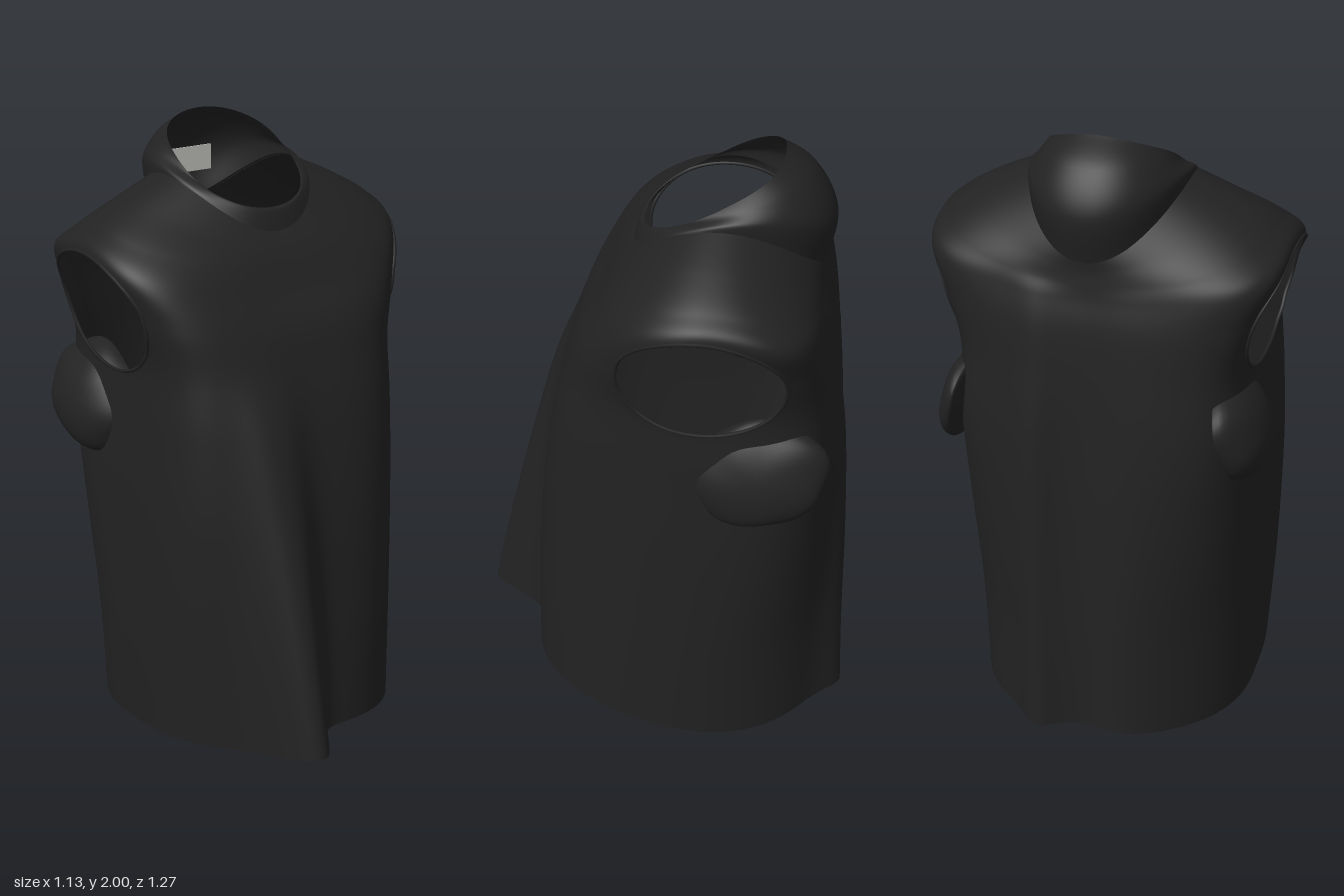
import * as THREE from 'three';

const cloth = new THREE.MeshStandardMaterial({ color: 0x222222, side: THREE.DoubleSide });
cloth.name = 'black cloth';
const tag = new THREE.MeshStandardMaterial({ color: 0xc2c2be });
tag.name = 'pale grey label';

// Rings: front z, back z, half width, middle z, y at front / side / back,
// squareness front / back, fold size front / back, skew of the front corners
const BODY = [
  [0.455, -0.575, 0.46, -0.12, 0.08, 0.01, 0.02, 2.5, 2.1, 0.22, 0.06, 0.5],
  [0.445, -0.575, 0.475, -0.12, 0.41, 0.40, 0.40, 2.7, 2.2, 0.15, 0.045, 0.8],
  [0.415, -0.565, 0.48, -0.13, 0.80, 0.80, 0.80, 3.0, 3.0, 0.08, 0.035, 1],
  [0.37, -0.55, 0.472, -0.14, 1.10, 1.10, 1.10, 3.3, 4.2, 0.04, 0.03, 1],
  [0.32, -0.535, 0.465, -0.14, 1.30, 1.30, 1.30, 3.6, 4.4, 0.01, 0.02, 1],
  [0.28, -0.52, 0.51, -0.15, 1.42, 1.48, 1.44, 3.4, 4.4, 0, 0.015, 0.8],
  [0.22, -0.50, 0.56, -0.16, 1.52, 1.64, 1.53, 3.0, 4.0, 0, 0.01, 0.6],
  [0.175, -0.49, 0.50, -0.17, 1.60, 1.71, 1.58, 2.6, 3.2, 0, 0, 0.3],
  [0.142, -0.485, 0.38, -0.18, 1.65, 1.78, 1.62, 2.2, 2.5, 0, 0, 0],
  [0.107, -0.485, 0.24, -0.19, 1.69, 1.845, 1.66, 2.1, 2.1, 0, 0, 0],
];
const COLLAR = [
  [0.112, -0.49, 0.247, -0.19, 1.685, 1.84, 1.65, 2.1, 2.1, 0, 0, 0],
  [0.103, -0.515, 0.242, -0.20, 1.72, 1.865, 1.80, 2.1, 2.1, 0, 0, 0],
  [0.092, -0.45, 0.217, -0.19, 1.75, 1.88, 1.93, 2.2, 2.2, 0, 0, 0],
  [0.078, -0.35, 0.20, -0.15, 1.755, 1.88, 2.0, 2.3, 2.5, 0, 0, 0],
];

// Smooth blend of the ring numbers at t = 0..1
function ringAt(rings, t) {
  const s = t * (rings.length - 1);
  const k = Math.min(Math.floor(s), rings.length - 2);
  const f = s - k;
  const at = (i) => rings[Math.max(0, Math.min(rings.length - 1, i))];
  return rings[k].map((b, n) => {
    const a = at(k - 1)[n], c = at(k + 1)[n], d = at(k + 2)[n];
    return b + 0.5 * f * (c - a + f * (2 * a - 5 * b + 4 * c - d + f * (3 * (b - c) + d - a)));
  });
}

const hump = (x, centre, width, power = 2) => Math.exp(-(Math.abs((x - centre) / width) ** power));

function ringPoint([front, back, w, mid, yf, ys, yb, nf, nb, foldF, foldB, skew], angle) {
  const s = Math.sin(angle), c = Math.cos(angle);
  const n = c > 0 ? nf - skew * s : nb;
  const r = Math.pow(Math.abs(s) ** n + Math.abs(c) ** n, -1 / n);
  const x = w * r * s - 0.01 * skew;
  let z = mid + r * c * (c > 0 ? front - mid : mid - back);
  let y = ys + (c * (yf - yb)) / 2 + c * c * ((yf + yb) / 2 - ys);
  // Hanging folds: one large at the front, two ridges with a valley at the back
  if (c > 0) {
    const bump = foldF * hump(x, -0.2, 0.108, 2.4) * Math.min(1, c * 2);
    z += bump;
    y += bump * 0.15;
  } else {
    const folds = hump(x, 0.15, 0.07) + 0.3 * hump(x, -0.17, 0.13) - 0.3 * hump(x, -0.03, 0.07);
    z -= foldB * folds * Math.min(1, -c * 2);
  }
  return [x, y, z];
}

// Armhole ellipse seen from the side: below 1 is inside
const HOLE = { y: 1.445, z: -0.14, ry: 0.197, rz: 0.262 };
const holeRadius = ([x, y, z]) =>
  Math.abs(x) < 0.25 ? 9 : Math.hypot((y - HOLE.y) / HOLE.ry, (z - HOLE.z) / HOLE.rz);

// Skin the rings; armholes are cut out and their edge points collected in rims
function skin(rings, around, up, rims) {
  const pts = [];
  for (let j = 0; j <= up; j++) {
    const ring = ringAt(rings, j / up);
    for (let i = 0; i < around; i++) pts.push(ringPoint(ring, (i / around) * Math.PI * 2));
  }
  const radii = pts.map((p) => (rims ? holeRadius(p) : 9));
  const snapped = new Set();
  const index = [];
  for (let j = 0; j < up; j++) {
    for (let i = 0; i < around; i++) {
      const i2 = (i + 1) % around;
      const a = j * around + i, b = j * around + i2, c = b + around, d = a + around;
      const inside = [a, b, c, d].filter((v) => radii[v] < 1);
      if (inside.length === 4) continue;
      inside.forEach((v) => snapped.add(v));
      index.push(a, b, c, a, c, d);
    }
  }
  for (const v of snapped) {
    const p = pts[v];
    p[1] = HOLE.y + (p[1] - HOLE.y) / radii[v];
    p[2] = HOLE.z + (p[2] - HOLE.z) / radii[v];
    rims[p[0] > 0 ? 0 : 1].push(new THREE.Vector3(...p));
  }
  const g = new THREE.BufferGeometry();
  g.setAttribute('position', new THREE.Float32BufferAttribute(pts.flat(), 3));
  g.setIndex(index);
  g.computeVertexNormals();
  return g;
}

// Crumpled sleeve hanging under an armhole, fullest below its middle
function sleeveGeometry(side) {
  const g = new THREE.SphereGeometry(1, 40, 28);
  const p = g.attributes.position;
  const reach = side > 0 ? 0.078 : 0.12;
  for (let i = 0; i < p.count; i++) {
    const x = p.getX(i), y = p.getY(i), z = p.getZ(i);
    const crease = 1 + 0.03 * Math.sin(5 * Math.atan2(y, z) + 3 * x);
    const px = x > 0 ? x * reach : x * 0.03;
    const pz = z * 0.218 * crease;
    p.setXYZ(i, px - 0.03 * pz - 0.04 * y, y * 0.172 * crease - 0.1 * pz, pz);
  }
  if (side < 0) {
    g.scale(-1, 1, 1);
    const ix = g.index.array;
    for (let i = 0; i < ix.length; i += 3) [ix[i], ix[i + 1]] = [ix[i + 1], ix[i]];
  }
  g.computeVertexNormals();
  g.translate(side * 0.425, 1.1, -0.32);
  return g;
}

export function createModel() {
  const shirt = new THREE.Group();
  shirt.name = 'sleevelessShirt';
  const add = (name, geometry, material = cloth) => {
    const mesh = new THREE.Mesh(geometry, material);
    mesh.name = name;
    shirt.add(mesh);
    return mesh;
  };

  const rims = [[], []];
  add('body', skin(BODY, 220, 120, rims));
  add('collar', skin(COLLAR, 96, 24));

  // Stitched armhole edges and hanging sleeves
  rims.forEach((points, k) => {
    const side = k ? -1 : 1, name = k ? 'right' : 'left';
    const turn = (p) => Math.atan2((p.y - HOLE.y) / HOLE.ry, (p.z - HOLE.z) / HOLE.rz);
    points.sort((a, b) => turn(a) - turn(b));
    const path = new THREE.CatmullRomCurve3(points.filter((_, i) => i % 5 === 0), true);
    add(name + 'ArmholeHem', new THREE.TubeGeometry(path, 120, 0.006, 6, true));
    add(name + 'Sleeve', sleeveGeometry(side));
  });

  // Neck label inside the back of the collar
  add('neckLabel', new THREE.BoxGeometry(0.19, 0.085, 0.004), tag).position.set(0.02, 1.8, -0.468);

  return shirt;
}
